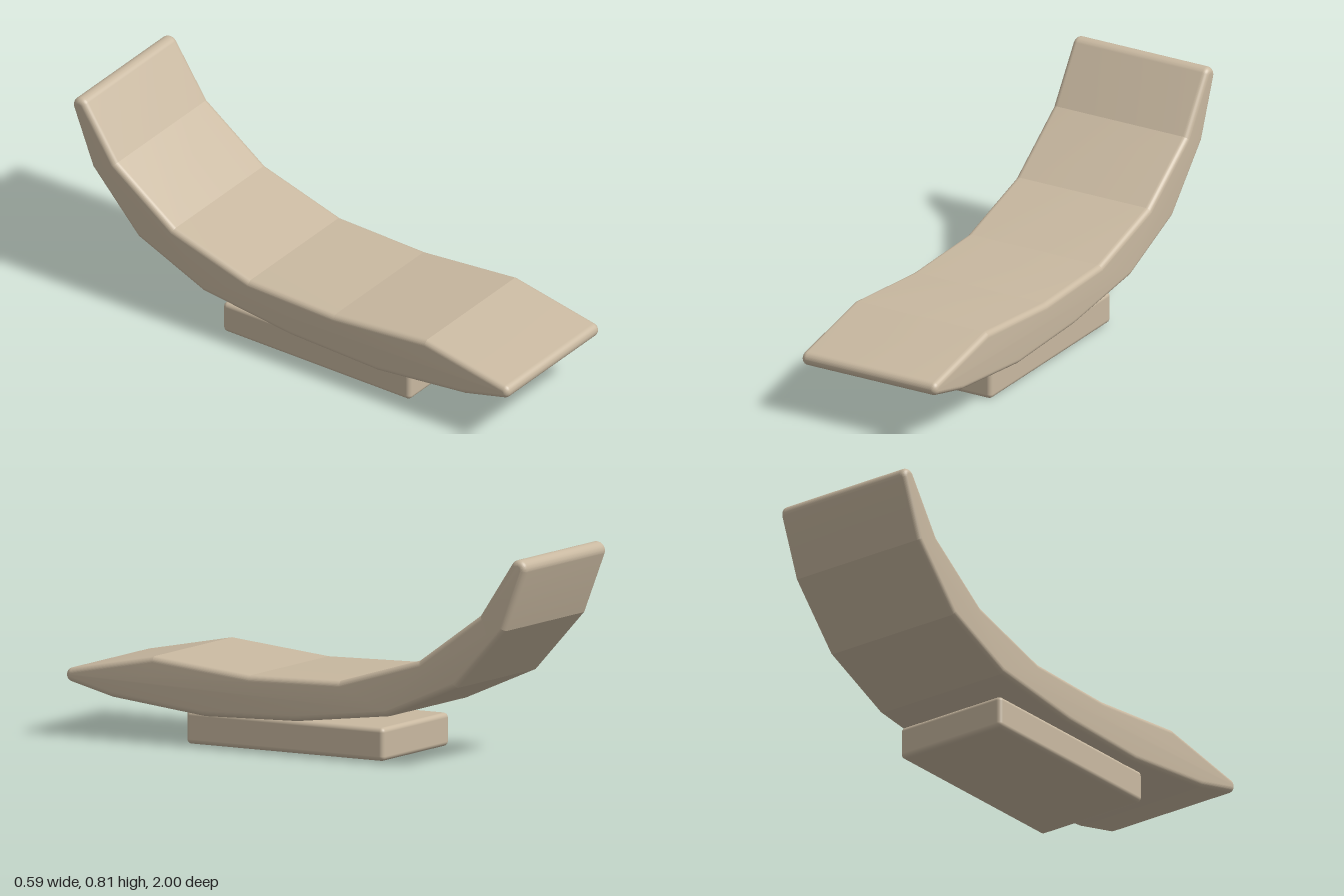
import * as THREE from 'three';
import { toCreasedNormals } from 'three/addons/utils/BufferGeometryUtils.js';
import { RoundedBoxGeometry } from 'three/addons/geometries/RoundedBoxGeometry.js';

const WIDTH = 0.586;
const BEVEL = 0.022;
const rad = THREE.MathUtils.degToRad;

// Side profile of the lounger: shape x runs front (+) to back (-)
function loungerProfile() {
  const shape = new THREE.Shape();
  const underside = [[-0.91, 0.54], [-0.70, 0.31], [-0.40, 0.18], [0, 0.13], [0.40, 0.117], [0.80, 0.158]];
  const topside = [[0.62, 0.325], [0.20, 0.287], [-0.19, 0.297], [-0.535, 0.40], [-0.80, 0.59]];
  shape.moveTo(...underside[0]);
  underside.slice(1).forEach((p) => shape.lineTo(...p));
  shape.absarc(0.973, 0.228, 0.027, rad(-76), rad(79), false); // rounded foot end
  topside.forEach((p) => shape.lineTo(...p));
  shape.absarc(-0.966, 0.777, 0.034, rad(32), rad(200), false); // rounded head end
  shape.closePath();
  return shape;
}

export function createModel() {
  const model = new THREE.Group();
  model.name = 'chaiseLounge';
  const material = new THREE.MeshStandardMaterial({ color: 0xc8b8a0 });

  // Curved body with softly rounded side edges
  const depth = WIDTH - 2 * BEVEL;
  const body = new THREE.ExtrudeGeometry(loungerProfile(), {
    depth,
    curveSegments: 16,
    bevelEnabled: true,
    bevelThickness: BEVEL,
    bevelSize: BEVEL,
    bevelOffset: -BEVEL,
    bevelSegments: 16,
  });
  body.translate(0, 0, -depth / 2);
  body.rotateY(-Math.PI / 2);
  const lounger = new THREE.Mesh(toCreasedNormals(body, 0.1), material);
  lounger.name = 'loungerBody';
  model.add(lounger);

  // Low block carrying the body
  const base = new THREE.Mesh(new RoundedBoxGeometry(0.472, 0.125, 0.86, 5, 0.018), material);
  base.name = 'base';
  base.position.set(0, 0.0625, 0.08);
  model.add(base);

  return model;
}
